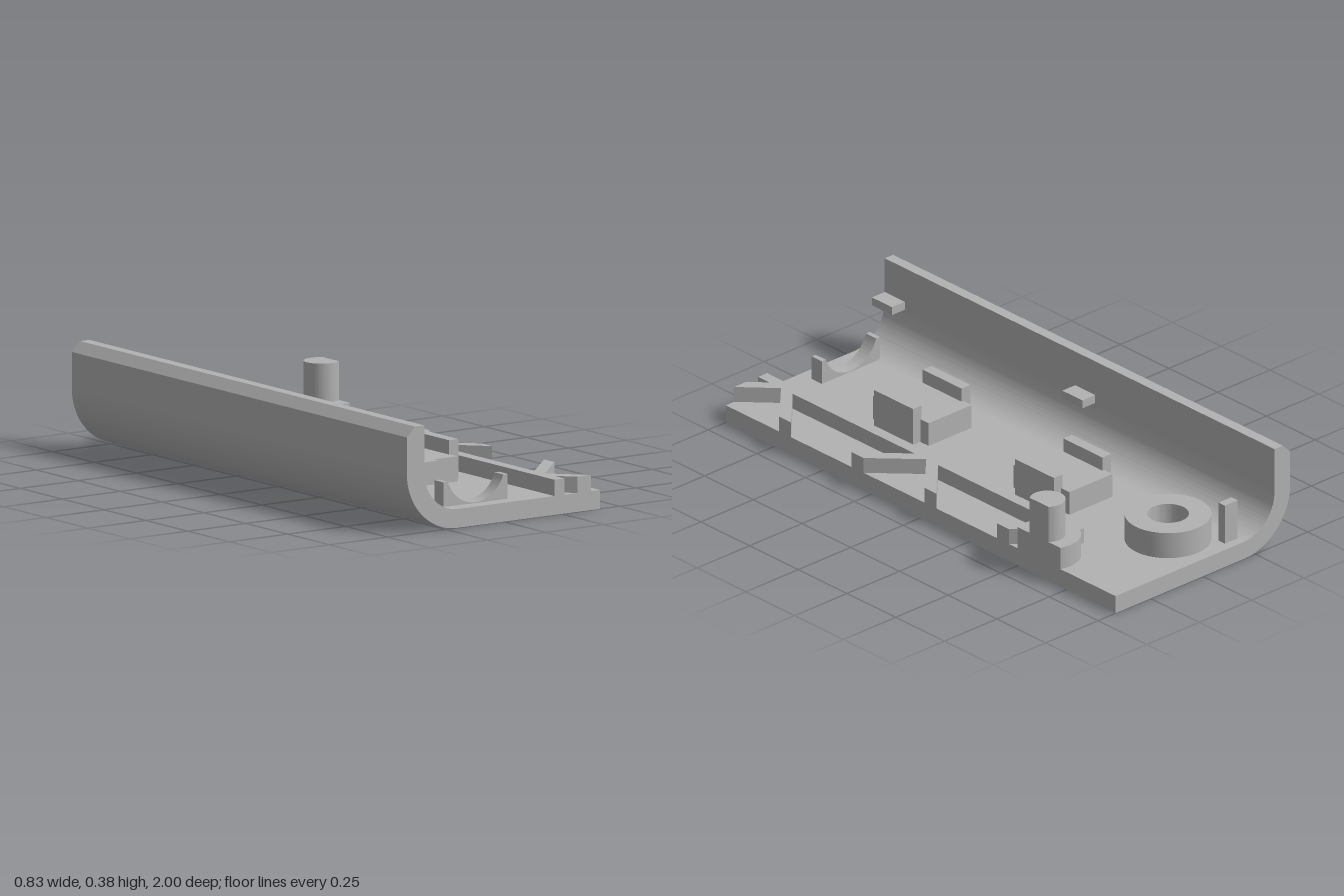
import * as THREE from 'three';
import { toCreasedNormals } from 'three/addons/utils/BufferGeometryUtils.js';

const FLOOR = 0.067;   // top of the floor plate
const EDGE = 0.416;    // open right edge

export function createModel() {
  const model = new THREE.Group();
  model.name = 'housingShell';
  const grey = new THREE.MeshStandardMaterial({ color: 0xb2b2b2 });
  grey.name = 'grey plastic';

  function add(name, geometry) {
    const mesh = new THREE.Mesh(geometry, grey);
    mesh.name = name;
    model.add(mesh);
    return mesh;
  }
  // box from its limits
  function box(name, x0, x1, y0, y1, z0, z1) {
    add(name, new THREE.BoxGeometry(x1 - x0, y1 - y0, z1 - z0))
      .position.set((x0 + x1) / 2, (y0 + y1) / 2, (z0 + z1) / 2);
  }
  function extrude(shape, depth) {
    const g = new THREE.ExtrudeGeometry(shape, { depth, bevelEnabled: false, curveSegments: 32 });
    return toCreasedNormals(g, 0.5);
  }
  // plan shape (x, -z) raised from y0 to y1
  function raise(name, shape, y0, y1) {
    add(name, extrude(shape, y1 - y0).rotateX(-Math.PI / 2).translate(0, y0, 0));
  }
  const plan = (pts) => new THREE.Shape(pts.map(([x, z]) => new THREE.Vector2(x, -z)));

  // Curved side wall with chamfered top edge
  const wall = new THREE.Shape();
  wall.moveTo(-0.2, 0);
  wall.lineTo(-0.2, FLOOR);
  wall.absarc(-0.196, 0.213, 0.146, -Math.PI / 2, -Math.PI, true);
  wall.lineTo(-0.342, 0.38);
  wall.lineTo(-0.382, 0.38);
  wall.lineTo(-0.417, 0.345);
  wall.lineTo(-0.417, 0.217);
  wall.absarc(-0.2, 0.217, 0.217, Math.PI, Math.PI * 1.5, false);
  add('curvedWall', extrude(wall, 2).translate(0, 0, -1));

  // Floor plate with the screw recess cut through
  const screwX = -0.02, screwZ = -0.8;
  const floor = plan([[-0.2, 1], [EDGE, 1], [EDGE, -1], [-0.2, -1]]);
  const recess = new THREE.Path();
  recess.absarc(screwX, -screwZ, 0.114, 0, Math.PI * 2, true);
  floor.holes.push(recess);
  raise('floor', floor, 0, FLOOR);

  // Screw boss: wide recess below, narrow hole above
  const profile = [
    [0.114, FLOOR], [0.152, FLOOR], [0.152, 0.165], [0.073, 0.165],
    [0.073, 0.095], [0.114, 0.095], [0.114, FLOOR],
  ].map(([r, y]) => new THREE.Vector2(r, y));
  add('screwBoss', toCreasedNormals(new THREE.LatheGeometry(profile, 56).toNonIndexed(), 0.5))
    .position.set(screwX, 0, screwZ);

  // Stepped post, cut flat at the open edge
  function cutDisc(name, radius, y0, y1) {
    const a = Math.acos((EDGE - 0.375) / radius);
    const s = new THREE.Shape();
    s.absarc(0.375, 0.607, radius, a, Math.PI * 2 - a, false);
    s.closePath();
    raise(name, s, y0, y1);
  }
  cutDisc('postBase', 0.117, FLOOR, 0.15);
  cutDisc('post', 0.063, 0.15, 0.288);

  // Two pads, each held between a pair of taller cheeks
  for (const z of [-0.29, 0.432]) {
    box('pad', -0.096, 0.109, FLOOR, 0.156, z - 0.143, z + 0.143);
    box('leftCheek', 0.103, 0.143, FLOOR, 0.207, z - 0.1, z + 0.1);
    box('rightCheek', -0.13, -0.088, FLOOR, 0.207, z - 0.1, z + 0.1);
  }

  // Long rib with diagonal braces running to the open edge
  const ribTop = 0.125, ribX = 0.262;
  box('longRib', 0.219, ribX, FLOOR, ribTop, -0.625, 1);
  function brace(z, dir) {
    raise('brace', plan([
      [ribX, z], [EDGE, z + dir * 0.156], [EDGE, z + dir * 0.217], [ribX, z + dir * 0.06],
    ]), FLOOR, ribTop);
  }
  brace(-0.608, 1);
  brace(0.137, 1);
  brace(0.137, -1);
  brace(0.882, -1);
  raise('frontBrace', plan([[ribX, 0.882], [0.376, 1], [0.318, 1], [ribX, 0.942]]), FLOOR, ribTop);

  // Round-bottomed cradle near the front
  const cradle = new THREE.Shape();
  cradle.moveTo(-0.219, FLOOR);
  cradle.lineTo(0.058, FLOOR);
  cradle.lineTo(0.058, 0.155);
  const a = Math.asin((0.197 - 0.155) / 0.127);
  cradle.absarc(-0.081, 0.197, 0.127, -a, -Math.PI + a, true);
  cradle.lineTo(-0.219, 0.155);
  add('cradle', extrude(cradle, 0.052).translate(0, 0, 0.892));

  // Small peg at the back and tabs on the wall
  box('peg', -0.199, -0.138, FLOOR - 0.01, 0.216, -0.965, -0.933);
  for (const z of [-0.08, 0.897]) box('wallTab', -0.345, -0.281, 0.217, 0.248, z, z + 0.103);

  return model;
}
